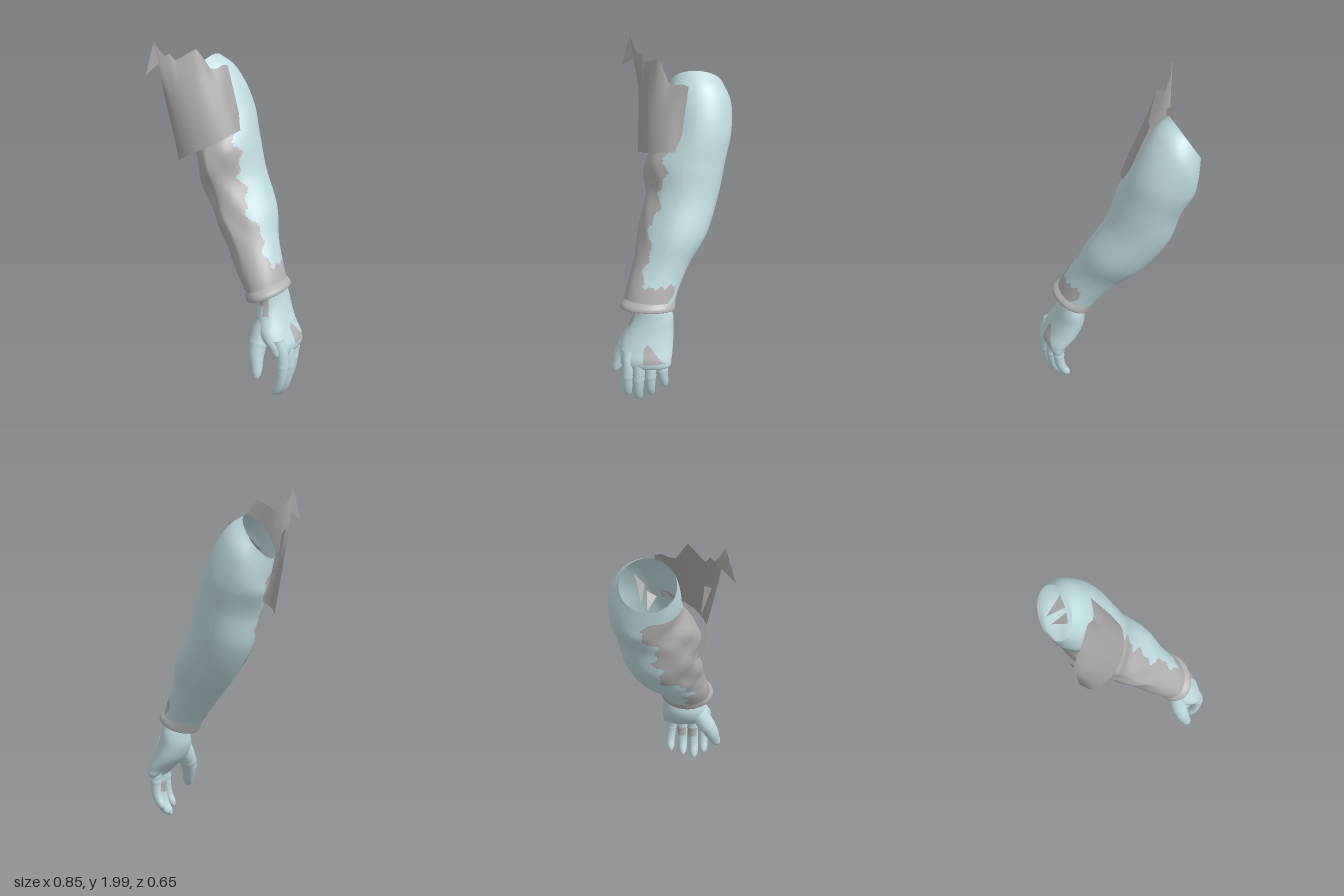
import * as THREE from 'three';

const flat = (name, color) => {
  const m = new THREE.MeshStandardMaterial({ color, side: THREE.DoubleSide });
  m.name = name;
  return m;
};
const V = (p) => new THREE.Vector3(...p);
const spline = (pts) => new THREE.CatmullRomCurve3(pts.map(V), false, 'catmullrom', 0.5);
const { clamp, mapLinear, smoothstep, degToRad } = THREE.MathUtils;

// Skin over rows of points; pick(i, j) gives the material index of each cell
function gridGeometry(rows, closed, pick = () => 0) {
  const n = rows[0].length;
  const cells = [[], []];
  for (let i = 0; i < rows.length - 1; i++) {
    for (let j = 0; j < (closed ? n : n - 1); j++) {
      const k = (j + 1) % n;
      const a = i * n + j, b = i * n + k, c = a + n, d = b + n;
      cells[pick(i, j)].push(a, b, c, b, d, c);
    }
  }
  const g = new THREE.BufferGeometry().setFromPoints(rows.flat());
  g.setIndex([...cells[0], ...cells[1]]);
  g.addGroup(0, cells[0].length, 0);
  g.addGroup(cells[0].length, cells[1].length, 1);
  g.computeVertexNormals();
  return g;
}

// Elliptical sections [x, y, z, radiusX, radiusZ, slope], listed from top to bottom
function sectionRows(sections, { steps = 6, sides = 48, from = 0, to = 360, swell = () => 1, t0 = 0, t1 = 1 } = {}) {
  const centre = spline(sections.map((s) => s.slice(0, 3)));
  const size = spline(sections.map((s) => s.slice(3)));
  const n = steps * (sections.length - 1);
  const full = to - from === 360;
  return Array.from({ length: n + 1 }, (_, i) => {
    const t = t0 + (t1 - t0) * i / n;
    const c = centre.getPoint(t), s = size.getPoint(t);
    return Array.from({ length: full ? sides : sides + 1 }, (_, j) => {
      const deg = from + (to - from) * j / sides;
      const a = degToRad(deg), w = swell(c.y, deg);
      const dx = s.x * w * Math.cos(a);
      return new THREE.Vector3(c.x + dx, c.y + s.z * dx, c.z + s.y * w * Math.sin(a));
    });
  });
}

// Tapered finger with a rounded tip and a thin raised band at the joint
function fingerRows(points, r0, r1) {
  const curve = spline(points), seg = 32, sides = 16;
  const { normals, binormals } = curve.computeFrenetFrames(seg, false);
  return Array.from({ length: seg + 1 }, (_, i) => {
    const t = i / seg, c = curve.getPointAt(t);
    const tip = t > 0.86 ? Math.sqrt(Math.max(0, 1 - ((t - 0.86) / 0.14) ** 2)) : 1;
    const r = (r0 + (r1 - r0) * t * t + (i === 14 ? 0.003 : 0)) * tip;
    return Array.from({ length: sides }, (_, j) => {
      const a = 2 * Math.PI * j / sides;
      return c.clone().addScaledVector(normals[i], r * Math.cos(a)).addScaledVector(binormals[i], r * Math.sin(a));
    });
  });
}

export function createModel() {
  const model = new THREE.Group();
  const skin = flat('paleTeal', 0xbedadd);
  const cloth = flat('clothGrey', 0xb2b0b0);
  const torn = flat('tornClothGrey', 0xa8a6a6);
  const add = (name, geometry, material) => {
    const mesh = new THREE.Mesh(geometry, material);
    mesh.name = name;
    model.add(mesh);
  };

  // Arm: flatter towards the front, fuller behind, with folds in the cloth
  const shape = (y, deg) => {
    const a = degToRad(deg), diagonal = Math.abs(Math.sin(2 * a));
    const body = smoothstep(y, 0.75, 0.95) * (1 - smoothstep(y, 1.5, 1.7));
    const front = Math.max(0, Math.sin(a - 0.26)) * smoothstep(y, 0.85, 1.0) * (1 - smoothstep(y, 1.4, 1.55));
    return 1 + body * diagonal * (Math.sin(a) > 0 ? -0.09 : 0.04)
      + front * (0.025 * Math.sin(y * 27 + deg * 0.05) + 0.02 * Math.sin(y * 19 - deg * 0.11));
  };
  const armRows = sectionRows([
    [-0.345, 1.75, -0.125, 0.075, 0.145, 1.5],
    [-0.29, 1.66, -0.14, 0.113, 0.18, 1.2],
    [-0.223, 1.52, -0.13, 0.162, 0.195, 0.5],
    [-0.165, 1.37, -0.075, 0.17, 0.222, 0.3],
    [-0.112, 1.19, -0.06, 0.174, 0.207, 0.3],
    [0.0, 1.0, -0.015, 0.163, 0.195, 0.35],
    [0.088, 0.85, 0.04, 0.132, 0.16, 0.35],
    [0.17, 0.72, 0.085, 0.112, 0.148, 0.35],
    [0.222, 0.63, 0.105, 0.098, 0.142, 0.35],
  ], { steps: 16, sides: 120, swell: shape });
  const isCloth = (i, j) => {
    const p = armRows[i][j], deg = j * 3;
    const jag = 6 * Math.sin(p.y * 31) + 4 * Math.sin(p.y * 67);
    if (p.y > 1.56) return 0;
    if (p.y < 0.79 + 0.01 * Math.sin(deg * 0.3)) return deg < 172 + jag || deg > 305 + jag || p.y < 0.63 ? 1 : 0;
    const start = p.y > 1.15 ? mapLinear(clamp(p.y, 1.15, 1.3), 1.15, 1.3, 40, 30)
      : mapLinear(clamp(p.y, 0.85, 1.1), 0.85, 1.1, 24, 42);
    const end = mapLinear(clamp(p.y, 0.85, 1.1), 0.85, 1.1, 142, 182);
    return deg > start + jag && deg < end + jag ? 1 : 0;
  };
  add('arm', gridGeometry(armRows, true, isCloth), [skin, cloth]);

  // Flared cuff with a turned lip
  add('cuff', gridGeometry(sectionRows([
    [0.2, 0.665, 0.1, 0.1, 0.145, 0.4],
    [0.222, 0.642, 0.108, 0.11, 0.156, 0.4],
    [0.231, 0.622, 0.11, 0.109, 0.156, 0.4],
    [0.23, 0.62, 0.11, 0.1, 0.146, 0.4],
    [0.222, 0.645, 0.108, 0.09, 0.135, 0.4],
  ]), true), [cloth, cloth]);

  // Torn upper sleeve, a curved sheet with a ragged top edge
  const hem = spline([[-0.04, 1.485, -0.05], [-0.043, 1.48, 0.03], [-0.1, 1.44, 0.13], [-0.2, 1.39, 0.19], [-0.3, 1.33, 0.19], [-0.35, 1.3, 0.12]]);
  const rim = spline([[-0.16, 1.82, -0.09], [-0.19, 1.84, 0], [-0.25, 1.88, 0.07], [-0.32, 1.88, 0.14], [-0.37, 1.9, 0.19], [-0.41, 1.92, 0.25]]);
  const rag = [0, 0, -0.02, -0.03, 0.01, 0.05, 0.03, 0.01, -0.01, 0.02, 0, 0.03, 0.08];
  const columns = rag.length * 2 - 1;
  const sheet = Array.from({ length: 9 }, (_, i) => Array.from({ length: columns }, (_, j) => {
    const u = j / (columns - 1), t = i / 8, k = j >> 1;
    const lift = j % 2 ? (rag[k] + rag[k + 1]) / 2 : rag[k];
    const p = rim.getPoint(u).lerp(hem.getPoint(u), t);
    p.y += lift * (1 - t) ** 4;
    p.z += 0.014 * Math.sin(Math.PI * t) * Math.sin(Math.PI * u);
    return p;
  }));
  add('tornSleeve', gridGeometry(sheet, false), [torn, torn]);

  // Loose shreds on the inner edge of the sleeve and inside the arm opening
  [
    [[-0.41, 1.98, 0.25], [-0.43, 1.81, 0.3], [-0.39, 1.87, 0.23]],
    [[-0.36, 1.74, 0.19], [-0.4, 1.78, 0.15], [-0.36, 1.58, 0.14]],
    [[-0.38, 1.67, -0.16], [-0.28, 1.72, -0.14], [-0.28, 1.78, -0.19]],
    [[-0.37, 1.62, -0.13], [-0.3, 1.66, -0.08], [-0.28, 1.68, -0.13]],
  ].forEach((tri) => {
    const g = new THREE.BufferGeometry().setFromPoints(tri.map(V));
    g.computeVertexNormals();
    add('sleeveShred', g, torn);
  });

  // Palm, with worn cloth patches at the wrist and on the knuckles
  const palm = [
    [0.235, 0.66, 0.085, 0.068, 0.1, 0.1],
    [0.245, 0.58, 0.078, 0.076, 0.115, 0.1],
    [0.258, 0.5, 0.093, 0.088, 0.132, 0.1],
    [0.292, 0.42, 0.11, 0.088, 0.15, 0.1],
    [0.342, 0.35, 0.113, 0.07, 0.148, 0.1],
    [0.362, 0.3, 0.113, 0.042, 0.13, 0.1],
    [0.365, 0.285, 0.113, 0.002, 0.01, 0.1],
  ];
  const palmRows = sectionRows(palm, { steps: 14, sides: 96 });
  add('palm', gridGeometry(palmRows, true, (i, j) => {
    const p = palmRows[i][j], deg = j * 3.75;
    const wrist = deg > 65 && deg < 110 && p.y > (deg > 88 ? 0.57 : 0.52);
    const knuckle = (deg < 60 || deg > 300) && p.y > 0.35 && p.y < 0.46
      && p.z < 0.115 - Math.max(0, p.y - 0.43) * 0.5 && p.z > 0.01 + (p.y - 0.36) * 0.8;
    return wrist || knuckle ? 1 : 0;
  }), [skin, cloth]);

  // Raised panel on the back of the hand
  const raised = palm.slice(0, 4).map(([x, y, z, a, b, s]) => [x, y, z, a + 0.004, b + 0.004, s]);
  add('handPanel', gridGeometry(sectionRows(raised, { sides: 16, from: -34, to: 36, t0: 0.47, t1: 0.82 }), false), [skin, skin]);

  // Four curled fingers: [knuckle z, tip z, tip y, tip x, bend x, radius, worn inner side]
  [
    [0.212, 0.224, 0.045, 0.325, 0.383, 0.037, 0],
    [0.15, 0.162, 0.01, 0.315, 0.385, 0.038, 1],
    [0.085, 0.09, 0.045, 0.305, 0.372, 0.036, 1],
    [0.022, 0.012, 0.1, 0.29, 0.348, 0.034, 0],
  ].forEach(([z0, z1, tip, x, bend, r, worn]) => {
    const at = (k) => 0.38 + (tip - 0.38) * k;
    const rows = fingerRows([
      [bend - 0.035, 0.4, z0], [bend - 0.007, at(0.2), z0], [bend, at(0.48), (z0 + z1) / 2],
      [x * 0.25 + bend * 0.75, at(0.76), z1], [x, tip, z1],
    ], r, r * 0.65);
    const inner = (i, j) => (worn && i > 12 && i < 19 && rows[i][j].x < bend - r * 0.6 ? 1 : 0);
    add('finger', gridGeometry(rows, true, inner), [skin, cloth]);
  });

  // Thumb
  add('thumb', gridGeometry(fingerRows([
    [0.26, 0.49, 0.16], [0.24, 0.4, 0.21], [0.24, 0.31, 0.258], [0.257, 0.23, 0.286], [0.272, 0.165, 0.312],
  ], 0.058, 0.022), true), [skin, skin]);

  return model;
}
